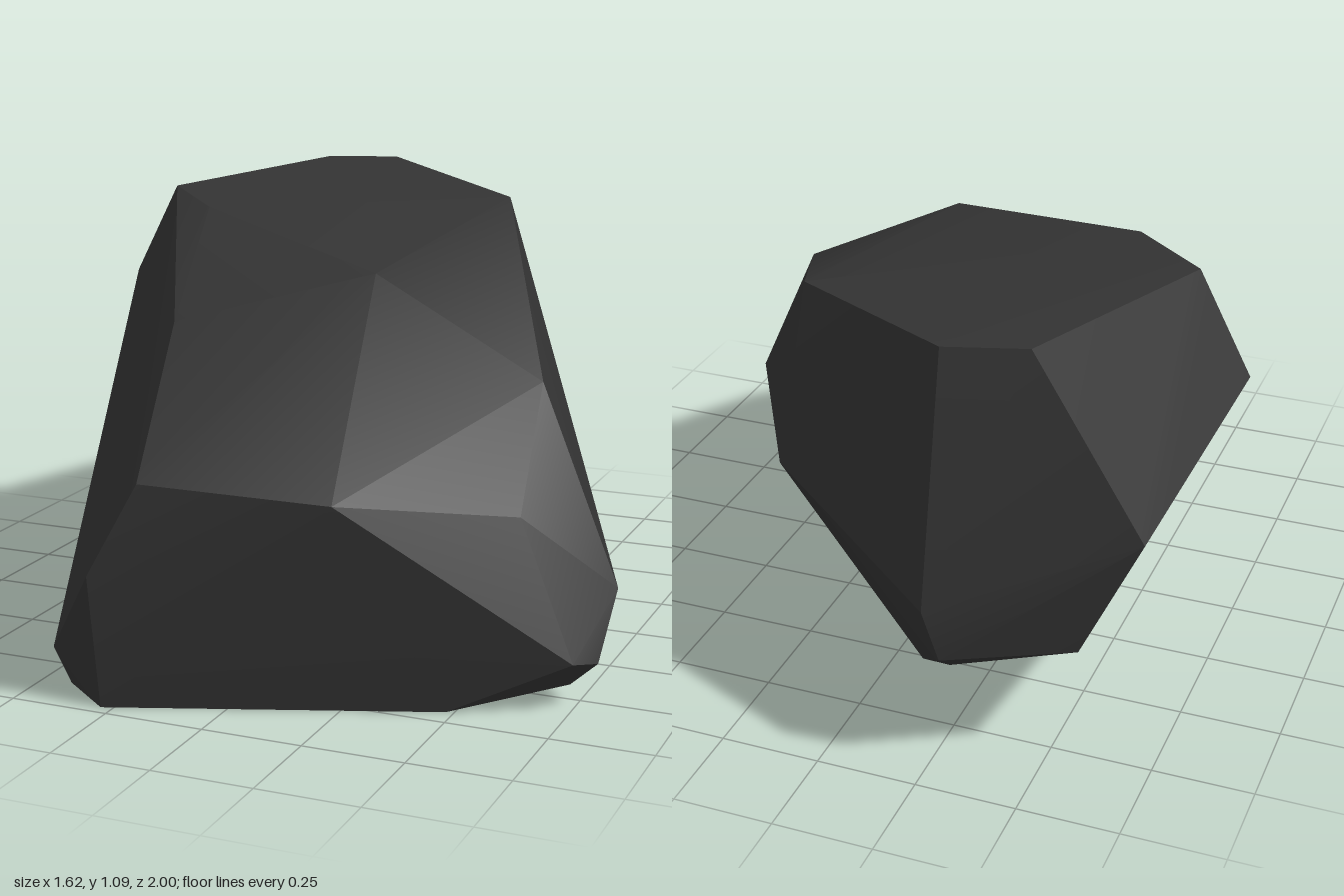
import * as THREE from 'three';
import { ConvexGeometry } from 'three/addons/geometries/ConvexGeometry.js';
import { toCreasedNormals } from 'three/addons/utils/BufferGeometryUtils.js';

// Corners of the boulder, grouped by region
const crown = [
  [-0.67, 1.06, -0.22], [-0.46, 1.085, -0.82], [-0.27, 1.085, -0.88],
  [0.2, 1.03, -0.56], [-0.48, 1.035, -0.04], [0.12, 0.94, 0.24],
  [-0.32, 0.83, 0.48], [0.57, 0.71, 0.27],
];
const front = [
  [-0.18, 0.55, 0.95], [0.27, 0.525, 0.87], [0.62, 0.46, 0.58],
  [-0.29, 0.33, 1.0], [-0.45, 0.1, 0.89], [0.76, 0.125, 0.6],
];
const sides = [
  [0.81, 0.26, 0.41], [0.8, 0.11, 0.53], [0.2, 0.63, -0.73], [-0.81, 0.81, -0.24],
];
const back = [
  [-0.73, 0.65, -0.82], [-0.27, 0.48, -1.0], [-0.3, 0.34, -0.97],
  [-0.58, 0.33, -0.81], [-0.26, 0.21, -0.8],
];
const base = [
  [-0.1, 0.05, -0.58], [-0.42, 0.02, 0.11], [-0.41, 0.01, 0.88],
  [-0.28, 0, 0.97], [0.48, 0, 0.69], [0.73, 0.045, 0.52],
];

export function createModel() {
  const group = new THREE.Group();
  group.name = 'rock';
  const stone = new THREE.MeshStandardMaterial({ color: 0x333333 });
  stone.name = 'dark stone';

  // One faceted boulder; gentle bends stay smooth, strong edges stay sharp
  const points = [...crown, ...front, ...sides, ...back, ...base]
    .map((p) => new THREE.Vector3(...p));
  const boulder = new THREE.Mesh(toCreasedNormals(new ConvexGeometry(points), 0.4), stone);
  boulder.name = 'boulder';
  group.add(boulder);
  return group;
}
